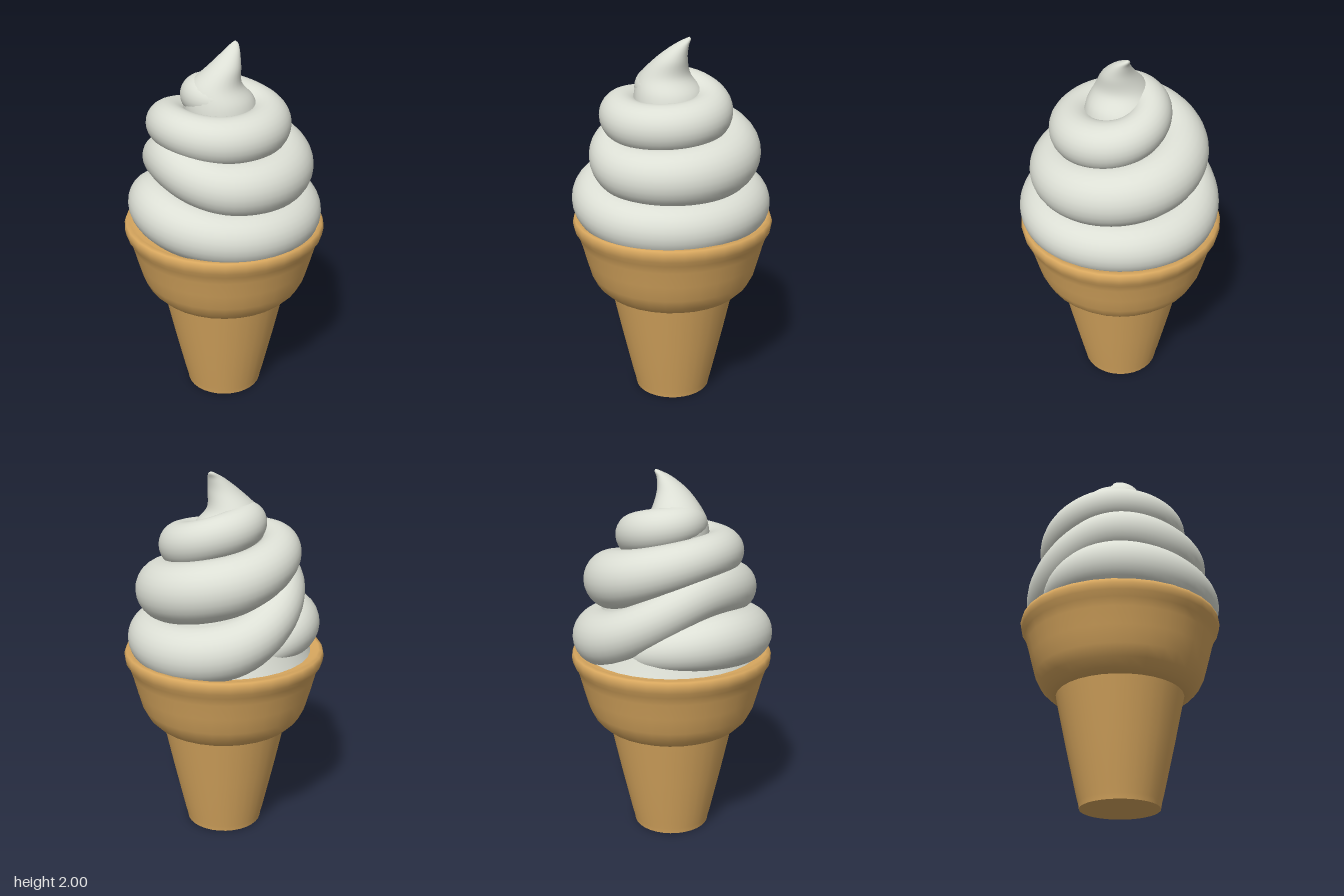
import * as THREE from 'three';

// Smooth closed-section loft: point(t, a) gives the surface position, t in 0..1, a in 0..2PI
function loft(rows, sides, point) {
  const pos = [], idx = [];
  for (let i = 0; i <= rows; i++) {
    for (let j = 0; j < sides; j++) pos.push(...point(i / rows, (j / sides) * Math.PI * 2));
  }
  for (let i = 0; i < rows; i++) {
    for (let j = 0; j < sides; j++) {
      const k = (j + 1) % sides;
      const a = i * sides + j, b = a + sides, c = i * sides + k, d = c + sides;
      idx.push(a, b, c, c, b, d);
    }
  }
  const g = new THREE.BufferGeometry();
  g.setAttribute('position', new THREE.Float32BufferAttribute(pos, 3));
  g.setIndex(idx);
  g.computeVertexNormals();
  return g;
}

const spline = (pts) => new THREE.CatmullRomCurve3(pts.map((p) => new THREE.Vector3(...p)), false, 'catmullrom', 0.5);

function lathe(points) {
  return new THREE.LatheGeometry(points.map((p) => new THREE.Vector2(...p)), 32);
}

export function createModel() {
  const group = new THREE.Group();
  const cream = new THREE.MeshStandardMaterial({ color: 0xdcdfd5 });
  cream.name = 'cream';
  const wafer = new THREE.MeshStandardMaterial({ color: 0xd9a85f });
  wafer.name = 'wafer';

  function add(name, geometry, material) {
    const mesh = new THREE.Mesh(geometry, material);
    mesh.name = name;
    group.add(mesh);
    return mesh;
  }

  // Wafer cone: tapered stem, flat base and flared cup with a rolled rim
  add('stem', lathe([[0.208, 0], [0.213, 0.03], [0.225, 0.075], [0.285, 0.34], [0.345, 0.62]]), wafer);
  add('base', new THREE.CircleGeometry(0.208, 32).rotateX(Math.PI / 2), wafer);
  add('cup', lathe([
    [0.30, 0.60], [0.35, 0.602], [0.385, 0.62], [0.425, 0.66], [0.455, 0.72], [0.48, 0.81],
    [0.503, 0.90], [0.518, 0.945], [0.537, 0.975], [0.543, 1.01], [0.535, 1.035],
    [0.515, 1.04], [0.49, 1.025], [0.3, 1.02], [0, 1.02],
  ]), wafer);

  // Swirl: [outer radius, centre height, half thickness] at every quarter turn, starting at the back
  const coil = spline([
    [0.38, 1.08, 0.05], [0.52, 1.17, 0.145], [0.545, 1.11, 0.14], [0.52, 1.105, 0.14],
    [0.53, 1.15, 0.155], [0.425, 1.41, 0.14], [0.475, 1.35, 0.145], [0.472, 1.37, 0.16],
    [0.46, 1.46, 0.16], [0.402, 1.59, 0.115], [0.372, 1.575, 0.125], [0.342, 1.605, 0.125],
    [0.265, 1.69, 0.12], [0.22, 1.735, 0.10], [0.165, 1.72, 0.08],
  ]);
  add('swirl', loft(224, 28, (t, a) => {
    const turn = -Math.PI + t * 14 * Math.PI / 2;
    const s = coil.getPoint(t);
    const r = s.x - s.z + Math.cos(a) * s.z;
    return [Math.sin(turn) * r, s.y + Math.sin(a) * s.z, Math.cos(turn) * r];
  }), cream);

  // Solid filling behind the coils
  add('core', lathe([[0.47, 1.03], [0.40, 1.19], [0.34, 1.4], [0.26, 1.57], [0.17, 1.68], [0, 1.72]]), cream);

  // Peak: round sections whose centre leans towards the curled tip
  const centre = spline([
    [-0.01, 1.62, 0], [-0.025, 1.72, 0], [-0.045, 1.80, 0.005], [0, 1.89, 0.01],
    [0.04, 1.955, -0.012], [0.063, 1.987, -0.04], [0.07, 2.0, -0.052],
  ]);
  const width = spline([
    [0.2, 0, 0], [0.18, 0, 0], [0.135, 0, 0], [0.085, 0, 0], [0.045, 0, 0], [0.02, 0, 0], [0.001, 0, 0],
  ]);
  add('peak', loft(36, 28, (t, a) => {
    const c = centre.getPoint(t), r = width.getPoint(t).x;
    return [c.x - Math.sin(a) * r, c.y, c.z + Math.cos(a) * r];
  }), cream);

  return group;
}
